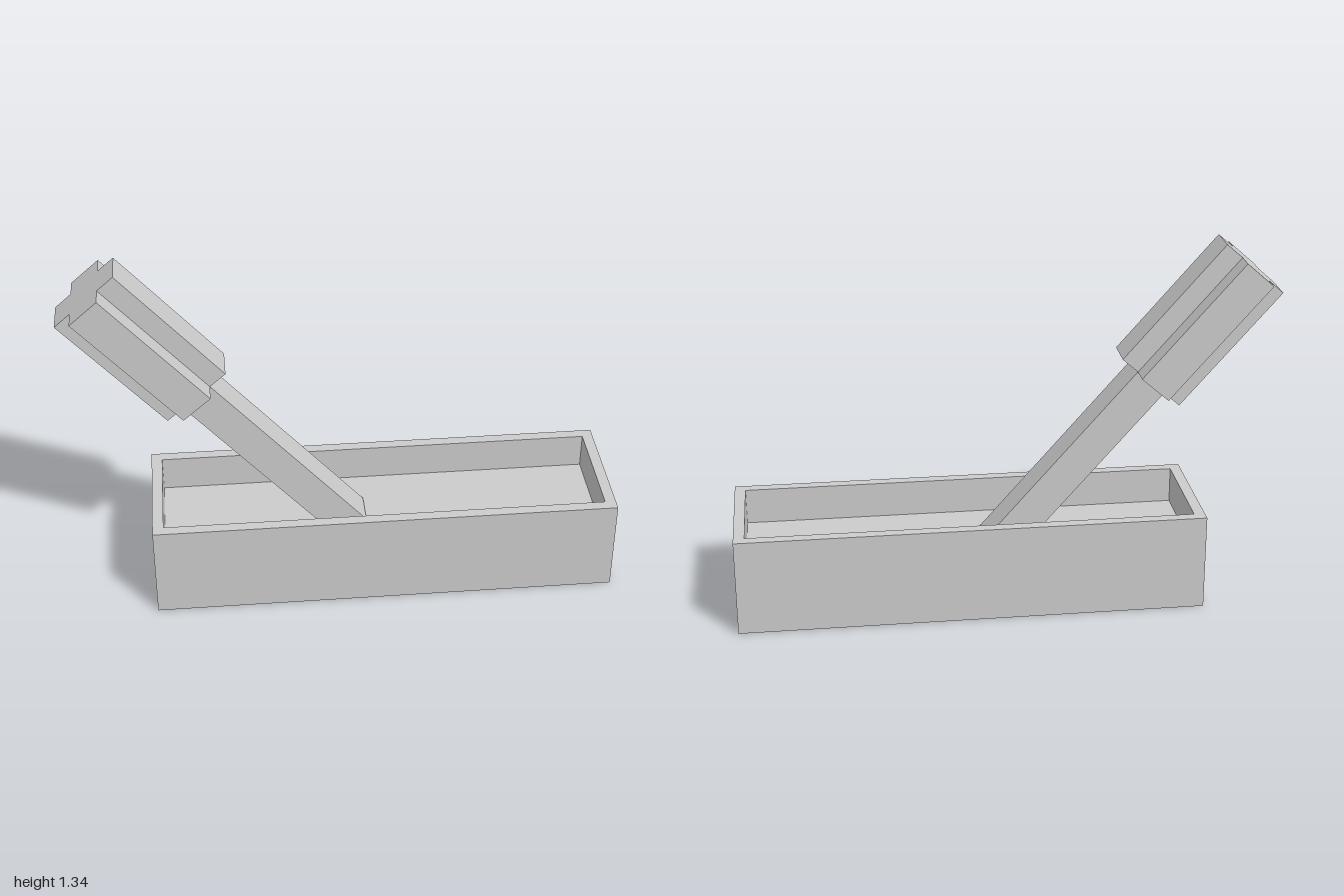
import * as THREE from 'three';

const material = new THREE.MeshStandardMaterial({ color: 0xcccccc, flatShading: true });

function part(name, geometry, parent) {
  const mesh = new THREE.Mesh(geometry, material);
  mesh.name = name;
  parent.add(mesh);
  return mesh;
}

function polygon(Type, points) {
  return new Type(points.map(([x, y]) => new THREE.Vector2(x, y)));
}

function rectangle(Type, w, d) {
  return polygon(Type, [[-w, -d], [w, -d], [w, d], [-w, d]].map(([x, y]) => [x / 2, y / 2]));
}

// Extrudes a ground-plan shape upwards from y = 0
function extrudeUp(shape, height) {
  return new THREE.ExtrudeGeometry(shape, { depth: height, bevelEnabled: false }).rotateX(-Math.PI / 2);
}

export function createModel() {
  const model = new THREE.Group();
  model.name = 'leverOnTray';

  // Open tray: solid base with a thin rim around the recess
  const length = 1.71, width = 0.494, height = 0.36, floor = 0.225, wall = 0.04;
  const tray = new THREE.Group();
  tray.name = 'tray';
  tray.position.x = 0.14;
  model.add(tray);
  part('trayBase', new THREE.BoxGeometry(length, floor, width).translate(0, floor / 2, 0), tray);
  const rim = rectangle(THREE.Shape, length, width);
  rim.holes.push(rectangle(THREE.Path, length - 2 * wall, width - 2 * wall));
  part('trayRim', extrudeUp(rim, height - floor), tray).position.y = floor;

  // Tilted lever, rising from the tray floor towards -x
  const shaft = 0.852, head = 0.553;
  const lever = new THREE.Group();
  lever.name = 'lever';
  lever.position.set(0.033, 0.187, 0);
  lever.rotation.z = 0.7205;
  model.add(lever);
  part('shaft', new THREE.BoxGeometry(0.132, shaft, 0.13).translate(0, shaft / 2, 0), lever);

  // Grip with a plus-shaped cross-section
  const a = 0.066, b = 0.142;
  const plus = polygon(THREE.Shape, [
    [a, -b], [a, -a], [b, -a], [b, a], [a, a], [a, b],
    [-a, b], [-a, a], [-b, a], [-b, -a], [-a, -a], [-a, -b],
  ]);
  part('grip', extrudeUp(plus, head), lever).position.y = shaft;

  return model;
}
